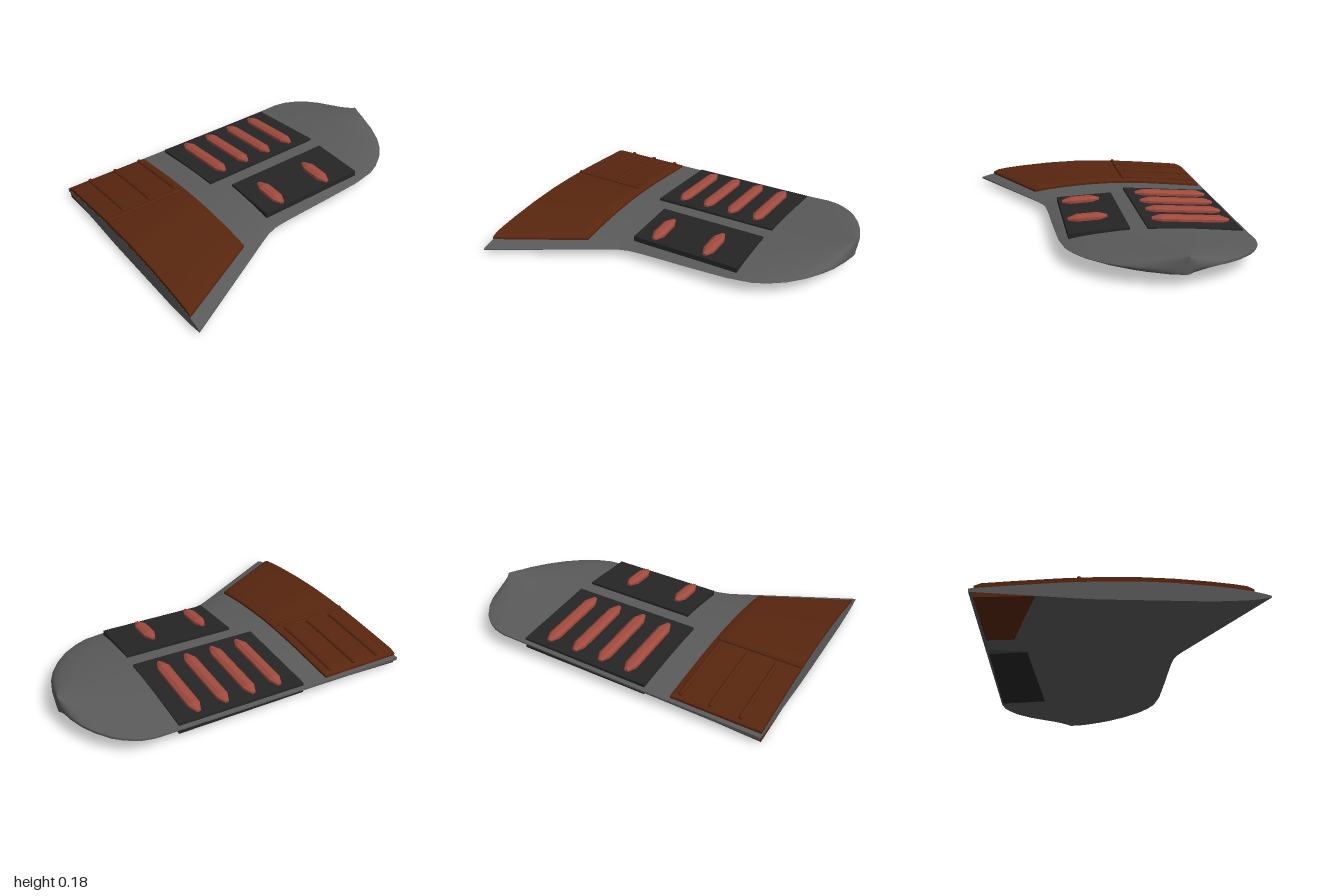
import * as THREE from 'three';
import { toCreasedNormals } from 'three/addons/utils/BufferGeometryUtils.js';

const paint = (name, color) => {
  const m = new THREE.MeshStandardMaterial({ color });
  m.name = name;
  return m;
};

// linear interpolation through [key, value] pairs
function lerpKeys(keys, x) {
  if (x <= keys[0][0]) return keys[0][1];
  for (let i = 1; i < keys.length; i++) {
    const [a, va] = keys[i - 1], [b, vb] = keys[i];
    if (x <= b) return va + (vb - va) * (x - a) / (b - a);
  }
  return keys[keys.length - 1][1];
}

// plan outline: leading (front) and trailing (back) edges along x
const FRONT = [[-1, 0.76], [-0.33, 0.4], [-0.27, 0.37], [-0.2, 0.35], [-0.1, 0.343], [0.2, 0.335], [0.45, 0.325],
  [0.6, 0.3], [0.68, 0.265], [0.77, 0.205], [0.85, 0.125], [0.91, 0.04], [0.95, -0.04], [0.98, -0.14], [0.995, -0.23], [1, -0.28]];
const BACK = [[-1, -0.765], [0.65, -0.765], [0.72, -0.75], [0.79, -0.715], [0.85, -0.665], [0.91, -0.585], [0.95, -0.51],
  [0.98, -0.42], [0.995, -0.34], [1, -0.3]];
// section shape from leading edge (0) to trailing edge (1)
const TOP = [[0, 0.36], [0.02, 0.45], [0.06, 0.58], [0.12, 0.71], [0.2, 0.83], [0.32, 0.95], [0.45, 1], [0.57, 0.96],
  [0.7, 0.85], [0.85, 0.66], [1, 0.45]];
const UNDER = [[0, 0.03], [0.03, 0.02], [0.08, 0.01], [0.2, 0], [0.6, 0], [0.8, 0.015], [1, 0.03]];
const PEAK = [[-1, 0.11], [-0.3, 0.09], [0.5, 0.083], [0.75, 0.09], [1, 0.102]];

const base = x => 0.005 + 0.037 * (x + 1);
const topAt = (x, t) => base(x) + lerpKeys(PEAK, x) * lerpKeys(TOP, t);
const underAt = (x, t) => base(x) + lerpKeys(UNDER, t);
const wingTop = (x, z) => {
  const f = lerpKeys(FRONT, x), b = lerpKeys(BACK, x);
  return topAt(x, (f - z) / (f - b));
};

// wing shell lofted from sections across x
function wingGeometry() {
  const xs = [-1, -0.85, -0.7, -0.55, -0.42, -0.33, -0.27, -0.2, -0.1, 0.05, 0.2, 0.33, 0.45, 0.53, 0.6, 0.65,
    0.68, 0.72, 0.77, 0.81, 0.85, 0.88, 0.91, 0.93, 0.95, 0.965, 0.98, 0.99, 0.995, 1];
  const ts = [0, 0.02, 0.04, 0.06, 0.09, 0.12, 0.16, 0.2, 0.26, 0.32, 0.38, 0.45, 0.51, 0.57, 0.63, 0.7, 0.78, 0.85, 0.92, 1];
  const M = ts.length, N = 2 * M, pos = [], idx = [];
  for (const x of xs) {
    const f = lerpKeys(FRONT, x), b = lerpKeys(BACK, x);
    for (let j = 0; j < N; j++) {
      const t = j < M ? ts[j] : ts[N - 1 - j];
      pos.push(x, j < M ? topAt(x, t) : underAt(x, t), f + (b - f) * t);
    }
  }
  for (let i = 0; i < xs.length - 1; i++) {
    for (let j = 0; j < N; j++) {
      const a = i * N + j, b = i * N + (j + 1) % N;
      idx.push(a, a + N, b, b, a + N, b + N);
    }
  }
  // close the root and the tip
  const last = (xs.length - 1) * N;
  for (let k = 0; k < M - 1; k++) {
    const t0 = k, t1 = k + 1, b0 = N - 1 - k, b1 = N - 2 - k;
    idx.push(t0, t1, b0, t1, b1, b0);
    idx.push(last + t0, last + b0, last + t1, last + t1, last + b0, last + b1);
  }
  const g = new THREE.BufferGeometry();
  g.setAttribute('position', new THREE.Float32BufferAttribute(pos, 3));
  g.setIndex(idx);
  return toCreasedNormals(g, 0.7);
}

// box whose plan and upper and lower faces follow rules
function slab({ x0, x1, front, back, top, bottom, nx = 1, nz = 1, bevel = 0 }) {
  const g = new THREE.BoxGeometry(1, 1, 1, nx, 1, nz), p = g.attributes.position;
  for (let i = 0; i < p.count; i++) {
    const u = p.getX(i) + 0.5, w = p.getZ(i) + 0.5;
    const x = x0 + (x1 - x0) * u, z = back + (front(x) - back) * w;
    const edge = u > 0.999 || w > 0.999 || w < 0.001;
    p.setXYZ(i, x, p.getY(i) > 0 ? top(x, z) - (edge ? bevel : 0) : bottom(x, z), z);
  }
  return toCreasedNormals(g, 0.5);
}

// eight-sided pod with tapered ends, lying along z
function podGeometry(length) {
  const h = length / 2, r = 0.039;
  const pts = [[0, -h], [0.014, -h], [r, -h + 0.055], [r, h - 0.055], [0.014, h], [0, h]];
  const g = new THREE.LatheGeometry(pts.map(q => new THREE.Vector2(...q)), 8, Math.PI / 8);
  g.rotateX(Math.PI / 2);
  g.scale(1, 0.64, 1);
  return toCreasedNormals(g, 0.2);
}

export function createModel() {
  const grey = paint('wing grey', 0x5a5a5a);
  const dark = paint('panel dark grey', 0x252525);
  const brown = paint('brown', 0x58260f);
  const red = paint('dull red', 0xa04a3d);

  const model = new THREE.Group();
  model.name = 'wing';
  const add = (name, geometry, material) => {
    const m = new THREE.Mesh(geometry, material);
    m.name = name;
    model.add(m);
    return m;
  };

  add('wingShell', wingGeometry(), grey);

  // thick root cover, showing through underneath at the back
  const coverTop = (x, z) => wingTop(x, z) + 0.026;
  add('rootCover', slab({
    x0: -0.999, x1: -0.47, back: -0.74, nx: 16, nz: 40, bevel: 0.012,
    front: x => 0.675 - 0.52 * (x + 1),
    top: coverTop,
    bottom: (x, z) => z > 0 ? wingTop(x, z) - 0.02 : 0.022 + 0.06 * (x + 1) + Math.min(0, (z + 0.35) * 0.045),
  }), brown);

  // raised ribs on the cover
  const rib = (name, a, b) => {
    const pts = [];
    for (let i = 0; i <= 8; i++) {
      const x = a[0] + (b[0] - a[0]) * i / 8, z = a[1] + (b[1] - a[1]) * i / 8;
      pts.push(new THREE.Vector3(x, coverTop(x, z) + 0.001, z));
    }
    add(name, new THREE.TubeGeometry(new THREE.CatmullRomCurve3(pts), 12, 0.013, 8), brown);
    for (const q of [pts[0], pts[8]]) {
      add(name + 'End', new THREE.SphereGeometry(0.013, 8, 6), brown).position.copy(q);
    }
  };
  for (const x of [-0.87, -0.695, -0.52]) rib('coverRib', [x, -0.71], [x, -0.26]);
  rib('coverCrossRib', [-0.987, -0.215], [-0.505, -0.215]);

  // tilted equipment panels with rows of pods
  const panels = [
    { name: 'rear', x0: -0.31, x1: 0.5, back: -0.74, front: -0.18, y: 0.1, slope: 0.077, thick: 0.065,
      pods: [-0.17, 0.005, 0.18, 0.357], podZ: -0.465, length: 0.47, lift: 0.007 },
    { name: 'front', x0: -0.215, x1: 0.49, back: -0.08, front: 0.272, y: 0.142, slope: -0.045, thick: 0.035,
      pods: [-0.082, 0.268], podZ: 0.135, length: 0.235, lift: 0.009 },
  ];
  for (const p of panels) {
    const top = (x, z) => p.y + p.slope * (z - p.back) + 0.025 * x;
    add(p.name + 'Panel', slab({
      x0: p.x0, x1: p.x1, back: p.back, front: () => p.front, top, bottom: (x, z) => top(x, z) - p.thick,
    }), dark);
    const pod = podGeometry(p.length);
    for (const x of p.pods) {
      const m = add(p.name + 'Pod', pod, red);
      m.position.set(x, top(x, p.podZ) + p.lift, p.podZ);
      m.rotation.x = -Math.atan(p.slope);
    }
  }
  return model;
}
